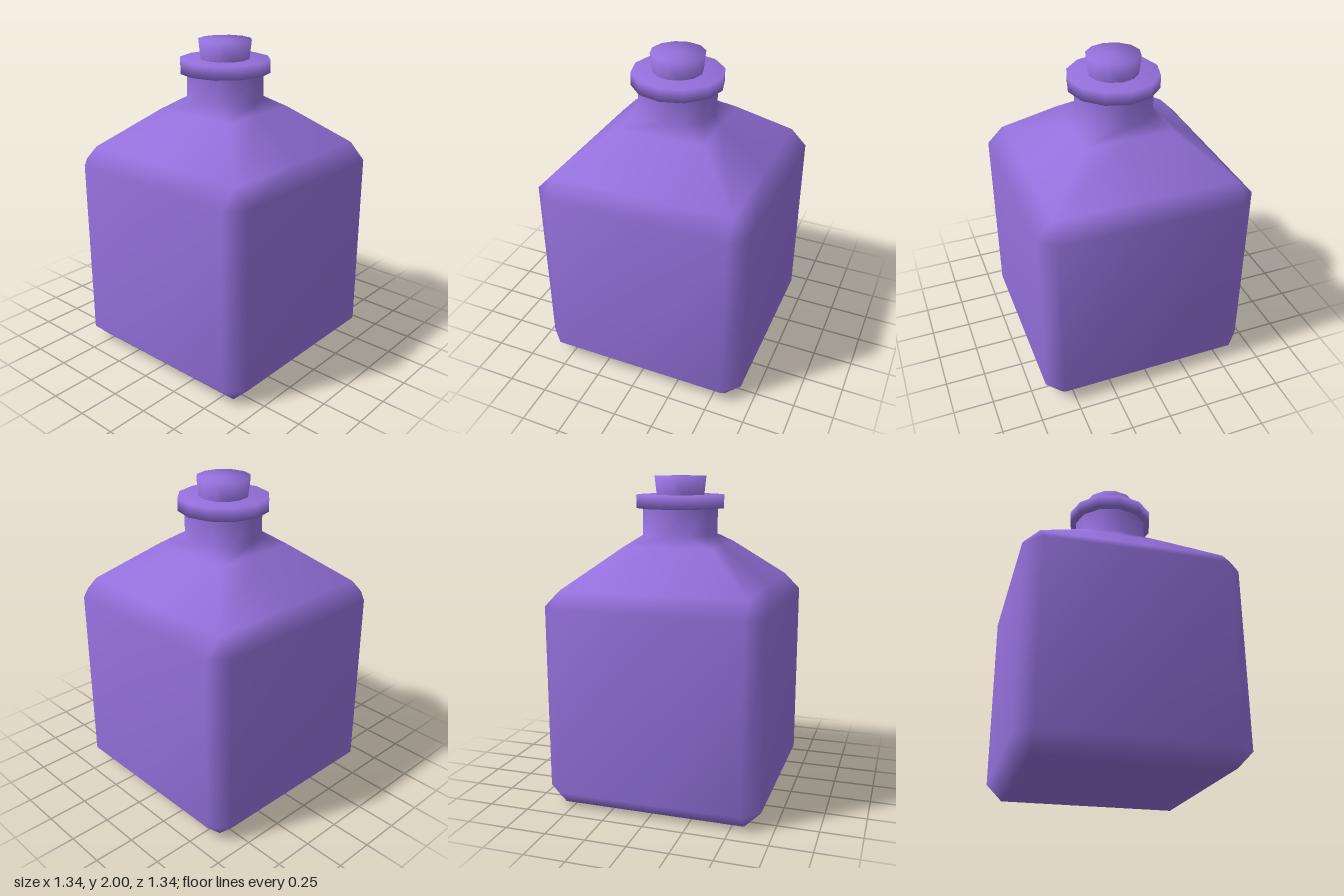
import * as THREE from 'three';
import { mergeVertices } from 'three/addons/utils/BufferGeometryUtils.js';

const SIDES = 12;

// Square ring of half width h whose corners are cut back to c (c = h gives sharp corners)
function squareRing(y, h, c) {
  const quarter = [[h, 0], [h, c], [c, h]];
  const ring = [];
  for (let q = 0; q < 4; q++) {
    for (const [a, b] of quarter) {
      const [x, z] = [[a, b], [-b, a], [-a, -b], [b, -a]][q];
      ring.push([x, y, z]);
    }
  }
  return ring;
}

function roundRing(y, r) {
  return Array.from({ length: SIDES }, (_, i) => {
    const a = (i / SIDES) * Math.PI * 2;
    return [r * Math.cos(a), y, r * Math.sin(a)];
  });
}

// Smooth skin over a stack of rings, closed at the bottom
function loft(rings) {
  const positions = rings.flat(2);
  const index = [];
  for (let j = 0; j < rings.length - 1; j++) {
    for (let i = 0; i < SIDES; i++) {
      const n = (i + 1) % SIDES;
      const a = j * SIDES + i, b = j * SIDES + n;
      const c = a + SIDES, d = b + SIDES;
      index.push(a, c, b, b, c, d);
    }
  }
  const centre = positions.length / 3;
  positions.push(0, rings[0][0][1], 0);
  for (let i = 0; i < SIDES; i++) index.push(centre, i, (i + 1) % SIDES);

  let geo = new THREE.BufferGeometry();
  geo.setAttribute('position', new THREE.Float32BufferAttribute(positions, 3));
  geo.setIndex(index);
  geo = mergeVertices(geo, 1e-4);
  // Drop the triangles that collapse where ring corners meet in one point
  const src = geo.index.array, kept = [];
  for (let i = 0; i < src.length; i += 3) {
    const [a, b, c] = [src[i], src[i + 1], src[i + 2]];
    if (a !== b && b !== c && c !== a) kept.push(a, b, c);
  }
  geo.setIndex(kept);
  geo.computeVertexNormals();
  return geo;
}

const lathe = (profile) =>
  new THREE.LatheGeometry(profile.map(([r, y]) => new THREE.Vector2(r, y)), SIDES);

export function createModel() {
  const group = new THREE.Group();
  group.name = 'bottle';
  const material = new THREE.MeshStandardMaterial({ color: 0x9370db });

  const add = (name, geometry) => {
    const mesh = new THREE.Mesh(geometry, material);
    mesh.name = name;
    group.add(mesh);
  };

  // Bevelled square body, sloped shoulder and round neck
  add('body', loft([
    squareRing(0, 0.57, 0.57),
    squareRing(0.1, 0.67, 0.57),
    squareRing(1.24, 0.67, 0.57),
    squareRing(1.34, 0.57, 0.57),
    squareRing(1.58, 0.275, 0.275),
    roundRing(1.64, 0.24),
    roundRing(1.82, 0.24),
  ]));

  // Flat collar round the mouth
  add('lip', lathe([[0.2, 1.805], [0.28, 1.805], [0.28, 1.885], [0, 1.885]]));

  // Tapered stopper
  add('stopper', lathe([[0.15, 1.87], [0.165, 2], [0, 2]]));

  return group;
}
